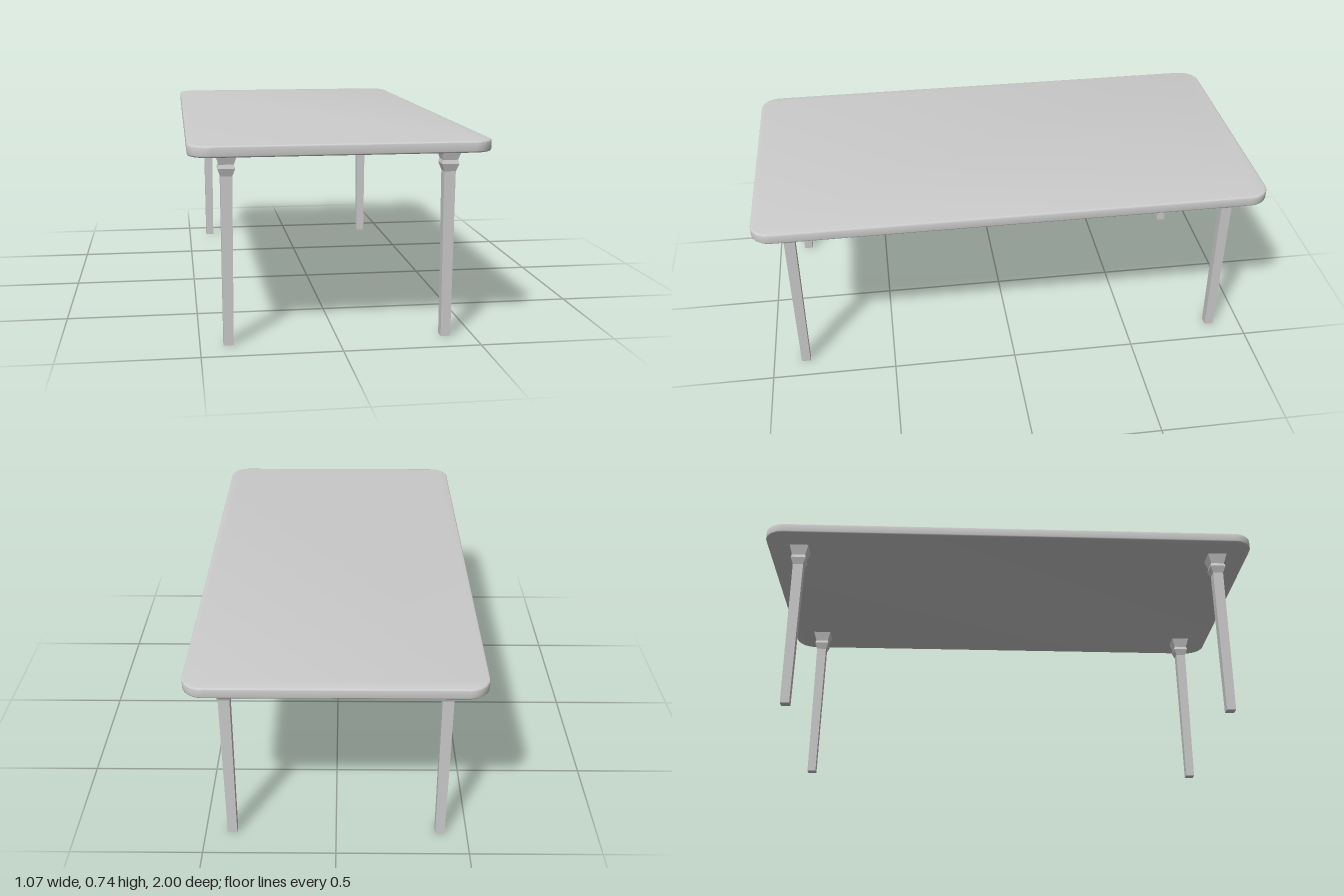
import * as THREE from 'three';
import { toCreasedNormals } from 'three/addons/utils/BufferGeometryUtils.js';

const HALF_X = 0.533, HALF_Z = 1, HEIGHT = 0.737, THICK = 0.04;
const CORNER = 0.08, BEVEL = 0.006;
const LEG_X = 0.398, LEG_Z = 0.869;

const material = new THREE.MeshStandardMaterial({ color: 0xcccccc });
const flatMaterial = new THREE.MeshStandardMaterial({ color: 0xcccccc, flatShading: true });

function roundedRect(hx, hz, r) {
  const s = new THREE.Shape();
  s.absarc(hx - r, hz - r, r, 0, Math.PI / 2);
  s.absarc(-hx + r, hz - r, r, Math.PI / 2, Math.PI);
  s.absarc(-hx + r, -hz + r, r, Math.PI, Math.PI * 1.5);
  s.absarc(hx - r, -hz + r, r, Math.PI * 1.5, Math.PI * 2);
  s.closePath();
  return s;
}

// Rounded slab with softened upper and lower edges
function makeTop() {
  const shape = roundedRect(HALF_X - BEVEL, HALF_Z - BEVEL, CORNER - BEVEL);
  const geo = new THREE.ExtrudeGeometry(shape, {
    depth: THICK - 2 * BEVEL, curveSegments: 10,
    bevelThickness: BEVEL, bevelSize: BEVEL, bevelSegments: 3,
  });
  geo.rotateX(-Math.PI / 2);
  geo.translate(0, HEIGHT - THICK + BEVEL, 0);
  const mesh = new THREE.Mesh(toCreasedNormals(geo, 0.6), material);
  mesh.name = 'tableTop';
  return mesh;
}

// Square leg profile as [half width, height]: taper, collar, flared capital
const LEG_PROFILE = [
  [0, 0], [0.018, 0], [0.0195, 0.3], [0.021, 0.615],
  [0.031, 0.643], [0.027, 0.657], [0.039, 0.698], [0, 0.698],
];

export function createModel() {
  const table = new THREE.Group();
  table.name = 'table';
  table.add(makeTop());

  // Four-sided lathe gives a square section aligned with the table
  const points = LEG_PROFILE.map(([w, y]) => new THREE.Vector2(w * Math.SQRT2, y));
  const legGeo = new THREE.LatheGeometry(points, 4, Math.PI / 4);
  for (const [zName, sz] of [['front', 1], ['back', -1]]) {
    for (const [xName, sx] of [['Left', 1], ['Right', -1]]) {
      const leg = new THREE.Mesh(legGeo, flatMaterial);
      leg.name = `${zName}${xName}Leg`;
      leg.position.set(sx * LEG_X, 0, sz * LEG_Z);
      table.add(leg);
    }
  }
  return table;
}
